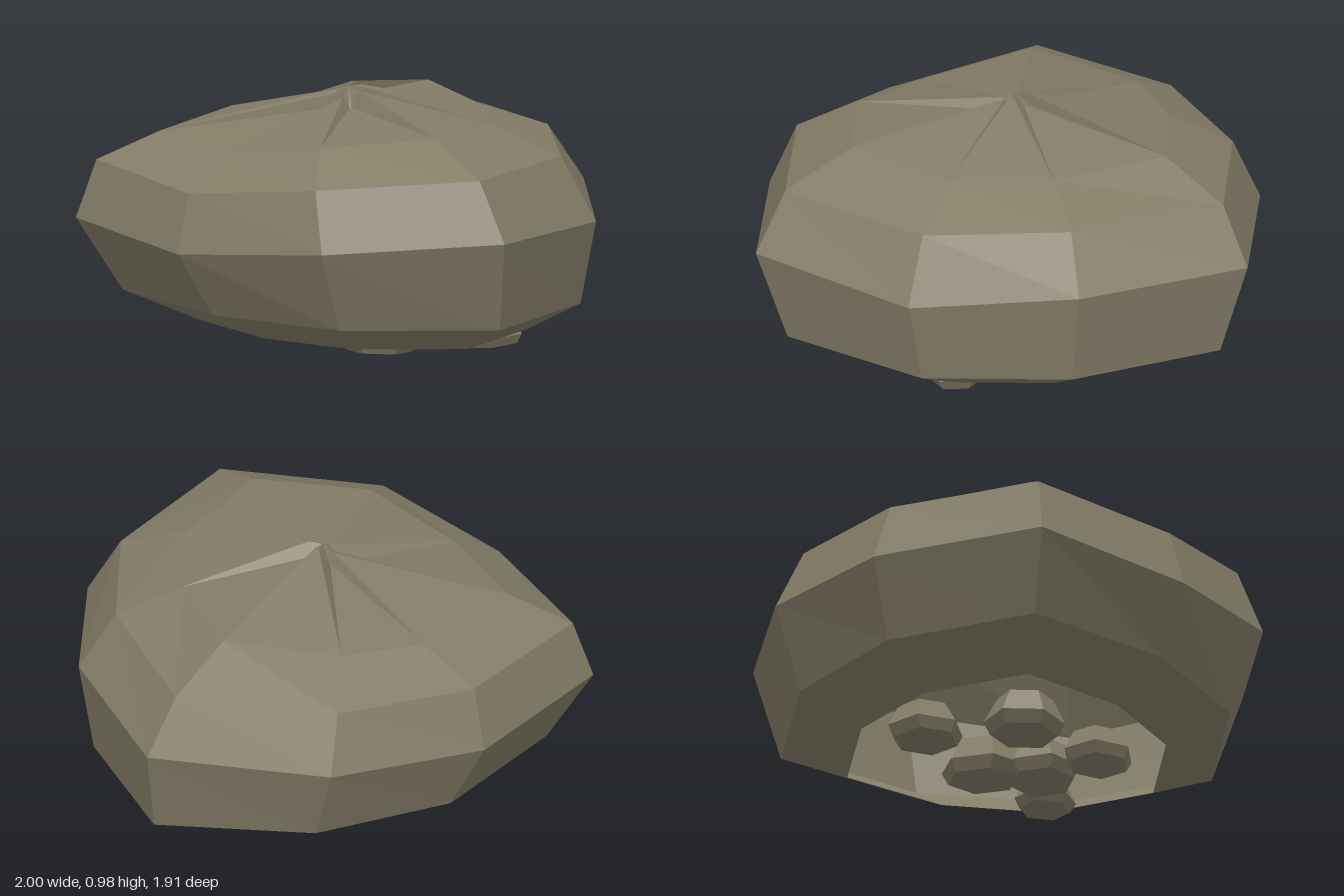
import * as THREE from 'three';

// Joins successive rings of points into a faceted skin.
function skin(rings) {
  const out = [];
  const tri = (a, b, c) => {
    if (a.distanceTo(b) < 1e-5 || b.distanceTo(c) < 1e-5 || a.distanceTo(c) < 1e-5) return;
    for (const p of [a, b, c]) out.push(p.x, p.y, p.z);
  };
  for (let r = 0; r < rings.length - 1; r++) {
    const lo = rings[r], hi = rings[r + 1], n = lo.length;
    for (let i = 0; i < n; i++) {
      const j = (i + 1) % n;
      tri(lo[i], hi[i], hi[j]);
      tri(lo[i], hi[j], lo[j]);
    }
  }
  const g = new THREE.BufferGeometry();
  g.setAttribute('position', new THREE.Float32BufferAttribute(out, 3));
  g.computeVertexNormals();
  return g;
}

const V = (x, y, z) => new THREE.Vector3(x, y, z);
const ring = (rows) => rows.map((p) => V(...p));

export function createModel() {
  const group = new THREE.Group();
  const stone = new THREE.MeshStandardMaterial({ color: 0x837c67, flatShading: true });
  stone.name = 'grey brown stone';
  const add = (geometry, name) => {
    const m = new THREE.Mesh(geometry, stone);
    m.name = name;
    group.add(m);
    return m;
  };

  // Irregular nine-sided outline at the widest point, then two rings above it
  const wide = ring([
    [1, 0.54, 0.27], [0.54, 0.5, 0.79], [-0.09, 0.435, 0.955], [-0.78, 0.465, 0.85], [-1, 0.47, 0.19],
    [-0.87, 0.5, -0.43], [-0.41, 0.545, -0.96], [0.27, 0.555, -0.8], [0.78, 0.51, -0.4],
  ]);
  const upper = ring([
    [0.86, 0.765, 0.27], [0.45, 0.73, 0.74], [-0.1, 0.66, 0.89], [-0.73, 0.69, 0.79], [-0.92, 0.7, 0.2],
    [-0.8, 0.72, -0.35], [-0.4, 0.76, -0.82], [0.21, 0.77, -0.67], [0.66, 0.755, -0.33],
  ]);
  const crown = ring([
    [0.57, 0.88, 0.23], [0.29, 0.85, 0.57], [-0.11, 0.78, 0.68], [-0.57, 0.8, 0.61], [-0.7, 0.815, 0.12],
    [-0.61, 0.83, -0.2], [-0.33, 0.88, -0.55], [0.11, 0.86, -0.43], [0.43, 0.86, -0.19],
  ]);
  // Underside rings, tucked in and shifted slightly
  const tucked = (s, y) => wide.map((p) => V(p.x * s + 0.02, y, p.z * s - 0.035));
  const lower = tucked(0.88, 0.185), rim = tucked(0.625, 0.067);

  // Thin hollow shell: inner lining from its roof down to the rim, then the outside
  const lining = (points) => points.map((p) => V(p.x * 0.975, p.y - 0.01, p.z * 0.975));
  const roof = crown.map(() => V(-0.09, 0.88, 0.09));
  add(skin([
    roof, lining(crown), lining(upper), lining(wide), tucked(0.86, 0.2), rim,
    lower, wide, upper, crown,
  ]), 'boulderShell');

  // Puckered cap: a narrow crease runs from every crown corner to the centre
  const centre = V(-0.09, 0.972, 0.08);
  const widths = [0.3, 0.25, 0.5, 0.03, 0.15, 0.4, 0.03, 0.4, 0.03];
  const outer = [], inner = [];
  crown.forEach((p, k) => {
    const a = Math.atan2(p.z - centre.z, p.x - centre.x);
    const step = 0.025 * (k % 2 ? 1 : -1);
    for (const side of [-1, 1]) {
      const t = a + side * widths[k];
      const y = 0.935 - 0.025 * Math.sin(t) + side * step;
      outer.push(p);
      inner.push(V(centre.x + 0.055 * Math.cos(t), y, centre.z + 0.055 * Math.sin(t)));
    }
  });
  add(skin([outer, inner, inner.map(() => centre)]), 'puckeredCap');

  // Small pebbles under the hollow: x, z, size, turn
  const profile = [[0, 0], [0.145, 0.004], [0.175, 0.05], [0.12, 0.14], [0, 0.16]]
    .map(([r, y]) => new THREE.Vector2(r, y));
  [
    [0.24, 0.22, 0.9, 0.2], [0.4, -0.2, 0.8, 0.9], [0.21, -0.04, 1, 0.5],
    [0.05, -0.2, 1.05, 1.4], [-0.36, -0.12, 0.95, 0.1], [-0.15, 0.19, 1.05, 0.7],
  ].forEach(([x, z, s, turn], i) => {
    const m = add(new THREE.LatheGeometry(profile, 6), 'pebble' + (i + 1));
    m.position.set(x, 0.011, z);
    m.scale.set(s, s, s * 0.85);
    m.rotation.set(0.05 * (i % 2 ? 1 : -1), turn, 0.04);
  });
  return group;
}
